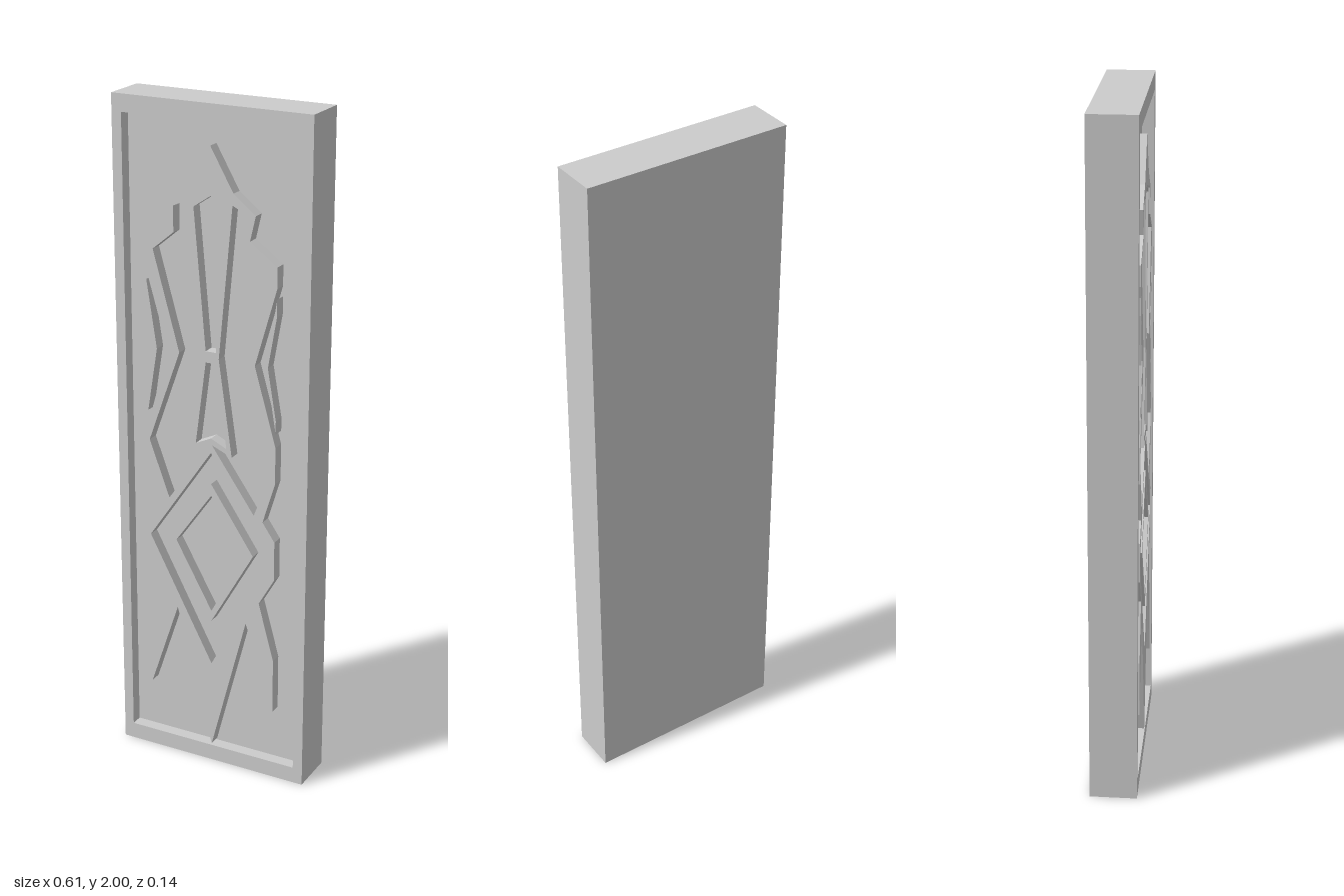
import * as THREE from 'three';

const W = 0.303, H = 2, BACK = -0.069, FRONT = 0.069;
const FLOOR = 0.033;   // level of the sunken field
const RELIEF = 0.035;  // height of the carving above the field

const mirror = pts => pts.map(([x, y]) => [-x, y]).reverse();
// closes a right-hand half profile (listed downwards) into a counter-clockwise loop
const symmetric = half => [...half, ...mirror(half).filter(([x]) => x !== 0)].reverse();
const toPoints = pts => pts.map(([x, y]) => new THREE.Vector2(x, y));

export function createModel() {
  const group = new THREE.Group();
  const material = new THREE.MeshStandardMaterial({ color: 0xcccccc });

  // outlines run counter-clockwise so that the walls of the holes face inwards
  function plate(name, outline, holes, z, depth) {
    const shape = new THREE.Shape(toPoints(outline));
    holes.forEach(h => shape.holes.push(new THREE.Path(toPoints(h))));
    const geometry = new THREE.ExtrudeGeometry(shape, { depth, bevelEnabled: false });
    const mesh = new THREE.Mesh(geometry, material);
    mesh.name = name;
    mesh.position.z = z;
    group.add(mesh);
  }

  // Slab and raised border
  const rect = (x, y0, y1) => [[-x, y0], [x, y0], [x, y1], [-x, y1]];
  plate('slab', rect(W, 0, H), [], BACK, FLOOR - BACK);
  plate('border', rect(W, 0, H), [rect(0.273, 0.05, 1.95)], FLOOR, FRONT - FLOOR);

  // Main carving: silhouette from the top point down to the bottom spike
  const silhouette = symmetric([
    [0, 1.887], [0.07, 1.765], [0.137, 1.712], [0.12, 1.64], [0.203, 1.58],
    [0.203, 1.52], [0.137, 1.29], [0.203, 1.06], [0.203, 0.95], [0.165, 0.825],
    [0.203, 0.77], [0.203, 0.65], [0.155, 0.565], [0.203, 0.39], [0.203, 0.22],
    [0.113, 0.49], [0, 0.055],
  ]);
  const sideOpening = [
    [0.067, 1.732], [0.115, 1.71], [0.115, 1.635], [0.181, 1.58],
    [0.1, 1.29], [0.2, 1.01], [0.137, 0.84],
    [0.003, 1.03], [0.066, 1.004], [0.025, 1.29],
  ];
  const upperFan = symmetric([[0, 1.75], [0.052, 1.715], [0.016, 1.308]]);
  const lowerFan = symmetric([[0, 1.275], [0.016, 1.275], [0.049, 1.027], [0, 1.05]]);
  const diamond = symmetric([[0, 1.006], [0.201, 0.71], [0, 0.33]]);
  plate('carvedOrnament', silhouette,
    [sideOpening, mirror(sideOpening), upperFan, lowerFan, diamond], FLOOR, RELIEF);

  // Raised diamond ring
  plate('diamondRing', symmetric([[0, 0.91], [0.135, 0.71], [0, 0.472]]),
    [symmetric([[0, 0.873], [0.115, 0.71], [0, 0.505]])], FLOOR, RELIEF);

  // Thin slivers beside the waist
  const sliver = [[0.203, 1.49], [0.172, 1.29], [0.203, 1.1], [0.203, 1.14], [0.177, 1.29], [0.203, 1.44]];
  plate('leftSliver', sliver, [], FLOOR, RELIEF);
  plate('rightSliver', mirror(sliver), [], FLOOR, RELIEF);

  return group;
}
